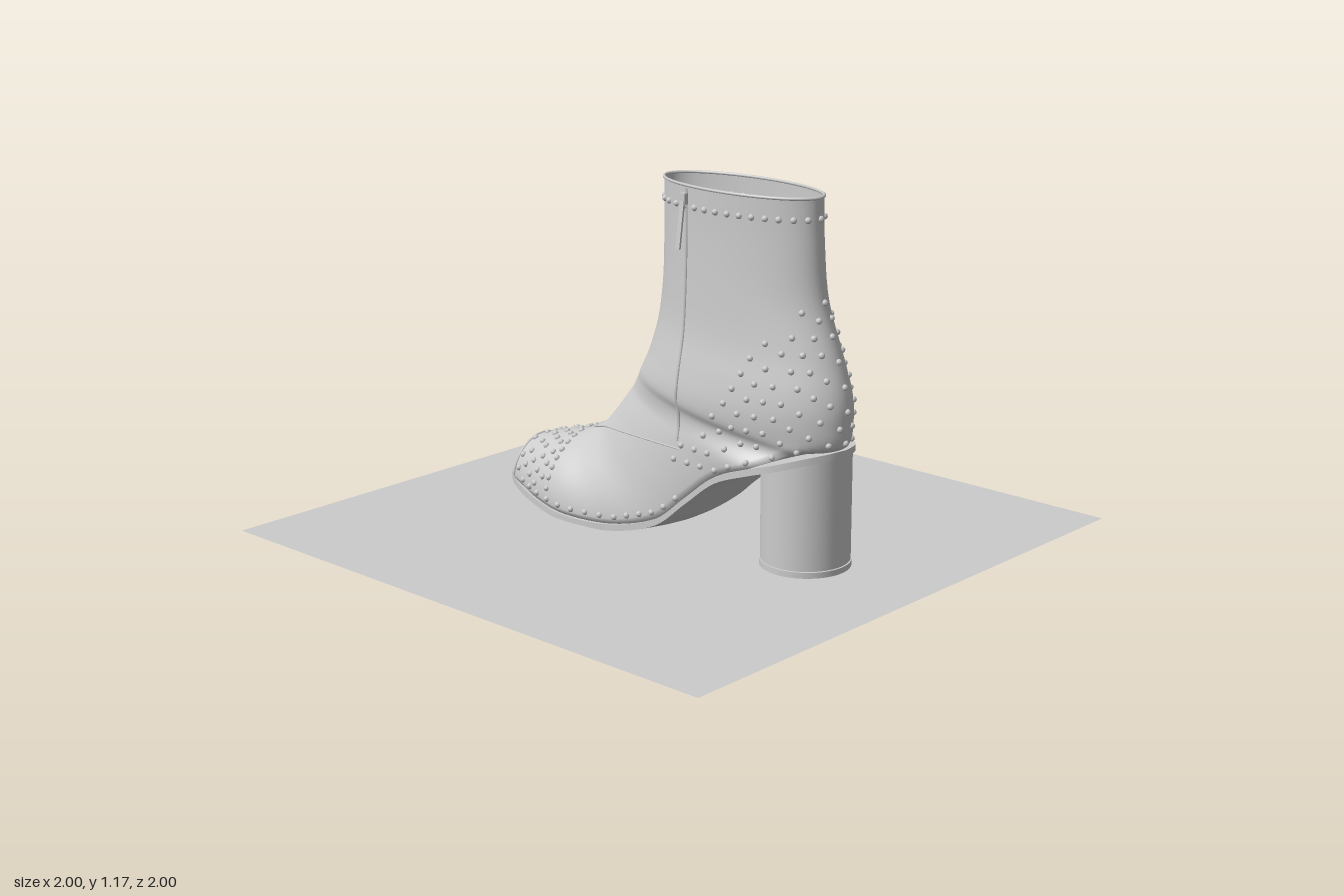
import * as THREE from 'three';
import { mergeGeometries, toCreasedNormals } from 'three/addons/utils/BufferGeometryUtils.js';

const V = (x, y, z) => new THREE.Vector3(x, y, z);
const lerp = THREE.MathUtils.lerp;
const material = new THREE.MeshStandardMaterial({ color: 0xcccccc, roughness: 0.7, side: THREE.DoubleSide });

function part(name, geometry) {
  const mesh = new THREE.Mesh(geometry, material);
  mesh.name = name;
  return mesh;
}

// Skin a list of closed rings, each with the same number of points
function loft(rings) {
  const n = rings[0].length, index = [];
  for (let i = 0; i < rings.length - 1; i++) {
    for (let j = 0; j < n; j++) {
      const a = i * n + j, b = i * n + (j + 1) % n;
      index.push(a, b, a + n, b, b + n, a + n);
    }
  }
  const g = new THREE.BufferGeometry().setFromPoints(rings.flat());
  g.setIndex(index);
  g.computeVertexNormals();
  return g;
}

const tube = (points, radius, closed = false) =>
  new THREE.TubeGeometry(new THREE.CatmullRomCurve3(points, closed), points.length * 4, radius, 6, closed);

// Upper stations, collar to toe:
// instep z, y | heel or sole z, y | half width, width at sole, flat bottom amount, centre x
const UPPER = [
  [-0.02, 1.17, 0.59, 1.17, 0.13, 0.13, 0, -0.005],
  [-0.02, 1.01, 0.595, 1.03, 0.13, 0.13, 0, -0.005],
  [-0.025, 0.85, 0.612, 0.85, 0.138, 0.138, 0, -0.003],
  [-0.045, 0.72, 0.665, 0.69, 0.152, 0.152, 0, 0],
  [-0.075, 0.62, 0.702, 0.57, 0.172, 0.172, 0, 0],
  [-0.1, 0.565, 0.707, 0.48, 0.182, 0.182, 0, 0],
  [-0.12, 0.53, 0.69, 0.405, 0.184, 0.17, 0.08, 0],
  [-0.14, 0.495, 0.6, 0.38, 0.185, 0.14, 0.6, 0],
  [-0.165, 0.455, 0.466, 0.335, 0.185, 0.18, 1, 0],
  [-0.2, 0.41, 0.33, 0.28, 0.183, 0.176, 1, 0],
  [-0.245, 0.355, 0.2, 0.18, 0.185, 0.172, 1, 0],
  [-0.295, 0.305, 0.08, 0.085, 0.195, 0.18, 1, 0.003],
  [-0.35, 0.272, -0.1, 0.03, 0.215, 0.205, 1, 0.007],
  [-0.42, 0.247, -0.3, 0.022, 0.228, 0.225, 1, 0.008],
  [-0.5, 0.226, -0.45, 0.035, 0.195, 0.195, 1, 0.002],
  [-0.605, 0.195, -0.62, 0.06, 0.128, 0.125, 1, -0.012],
];

// Sole stations, heel to toe: z, top y, half width, centre x
const SOLE = [
  [0.705, 0.405, 0, 0], [0.688, 0.402, 0.06, 0], [0.64, 0.39, 0.125, 0], [0.56, 0.365, 0.175, 0],
  [0.466, 0.335, 0.188, 0], [0.33, 0.28, 0.184, 0], [0.2, 0.18, 0.18, 0], [0.08, 0.085, 0.187, 0.003],
  [-0.1, 0.03, 0.214, 0.007], [-0.3, 0.022, 0.235, 0.008], [-0.45, 0.035, 0.203, 0.002],
  [-0.56, 0.052, 0.16, -0.007], [-0.64, 0.062, 0.11, -0.014], [-0.69, 0.069, 0.06, -0.016],
  [-0.712, 0.072, 0, -0.016],
];

function soleY(z) {
  for (let i = 1; i < SOLE.length; i++) {
    const [z0, y0] = SOLE[i - 1], [z1, y1] = SOLE[i];
    if (z >= z1) return lerp(y0, y1, Math.max(0, (z - z0) / (z1 - z0)));
  }
  return 0.072;
}

function upperRings(steps = 90, sides = 64) {
  const instep = new THREE.CatmullRomCurve3(UPPER.map(s => V(s[4], s[1], s[0])), false, 'catmullrom');
  const base = new THREE.CatmullRomCurve3(UPPER.map(s => V(s[5], s[3], s[2])), false, 'catmullrom');
  const shape = new THREE.CatmullRomCurve3(UPPER.map(s => V(s[6], s[7], 0)), false, 'catmullrom');
  const rings = [];
  for (let i = 0; i <= steps; i++) {
    const f = instep.getPoint(i / steps), b = base.getPoint(i / steps), k = shape.getPoint(i / steps);
    const flat = THREE.MathUtils.clamp(k.x, 0, 1), ring = [];
    for (let j = 0; j < sides; j++) {
      const u = j / sides * 2 - 1, a = Math.min(1, Math.abs(u) / 0.78) * Math.PI / 2;
      const under = Math.max(0, (Math.abs(u) - 0.78) / 0.22);
      // blend an oval section into a dome with a flat bottom
      const domeT = Math.cos(a), domeX = Math.sin(a) * (1 - under);
      const t = lerp((1 + Math.cos(u * Math.PI)) / 2, domeT, flat);
      const x = lerp(Math.sin(Math.abs(u) * Math.PI), domeX, flat) * lerp(f.x, b.x, (1 - t) ** 3);
      ring.push(V(k.y + Math.sign(u) * x, lerp(b.y, f.y, t), lerp(b.z, f.z, t)));
    }
    rings.push(ring);
  }
  return rings;
}

function soleGeometry() {
  const line = new THREE.CatmullRomCurve3(SOLE.map(s => V(s[2], s[1], s[0])));
  const centre = new THREE.CatmullRomCurve3(SOLE.map(s => V(s[3], s[1], s[0])));
  const rings = [];
  for (let i = 0; i <= 90; i++) {
    const p = line.getPoint(i / 90), c = centre.getPoint(i / 90).x, w = Math.max(0, p.x), ring = [];
    ring.push(V(c - w, p.y, p.z), V(c + w, p.y, p.z));
    const belly = 0.02 * Math.exp(-(((p.z - 0.12) / 0.16) ** 2));
    for (let j = 0; j <= 8; j++) {
      const s = 1 - j / 4;
      ring.push(V(c + s * w, Math.max(0.003, p.y - 0.022 - belly * (1 - s * s)), p.z));
    }
    rings.push(ring);
  }
  return toCreasedNormals(loft(rings), 0.7);
}

export function createModel() {
  const model = new THREE.Group();
  model.name = 'ankleBoot';

  // Flat square sheet under the boot
  model.add(part('baseSheet', new THREE.PlaneGeometry(2, 2).rotateX(-Math.PI / 2)));

  // Upper, with bound collar and open toe
  const rings = upperRings();
  const upper = part('upper', loft(rings));
  model.add(upper);
  model.add(part('collarEdge', tube(rings[0], 0.005, true)));
  model.add(part('toeOpeningEdge', tube(rings.at(-1).filter((p, j) => Math.abs(j / 32 - 1) < 0.78), 0.005)));
  model.add(part('sole', soleGeometry()));

  // Block heel, its top cut to the slope of the sole
  const heel = new THREE.CylinderGeometry(0.142, 0.142, 0.4, 48).translate(0.007, 0.222, 0.545);
  const hp = heel.attributes.position;
  for (let i = 0; i < hp.count; i++) if (hp.getY(i) > 0.3) hp.setY(i, soleY(hp.getZ(i)) - 0.012);
  model.add(part('heel', heel));
  model.add(part('heelTip', new THREE.CylinderGeometry(0.145, 0.145, 0.019, 48).translate(0.007, 0.0105, 0.545)));

  // Find points on the outside of the upper
  const ray = new THREE.Raycaster();
  upper.updateMatrixWorld();
  const hit = (from, dir) => {
    ray.set(from, dir.normalize());
    return ray.intersectObject(upper)[0]?.point;
  };
  const sideHit = (side, y, z) => hit(V(side, y, z), V(-side, 0, 0));
  const roundHit = (a, y) => {
    const d = V(Math.sin(a), 0, Math.cos(a));
    return hit(V(d.x, y, 0.34 + d.z), d.negate());
  };
  const archHit = (a, z) => {
    const d = V(Math.sin(a), Math.cos(a), 0);
    return hit(V(d.x, 0.06 + d.y, z), d.negate());
  };

  // Studs, kept a minimum distance apart
  const addStuds = (name, candidates, gap, keep = () => true) => {
    const placed = [];
    for (const p of candidates) {
      if (p && keep(p) && placed.every(q => q.distanceTo(p) > gap)) placed.push(p);
    }
    model.add(part(name, mergeGeometries(placed.map(p =>
      new THREE.SphereGeometry(0.0105, 8, 6).translate(p.x, p.y, p.z)))));
  };
  const heelPoints = [], toePoints = [], toeRow = [], collarPoints = [], welt = [];
  for (let y = 0.3; y < 0.88; y += 0.025) {
    for (let a = 0; a < 2.5; a += 0.04) heelPoints.push(roundHit(a, y), roundHit(-a, y));
  }
  for (let z = -0.43; z > -0.605; z -= 0.02) {
    for (let a = 0; a < 1.6; a += 0.04) toePoints.push(archHit(a, z), archHit(-a, z));
  }
  for (let a = 0; a < 1.6; a += 0.02) toeRow.push(archHit(a, -0.395), archHit(-a, -0.395));
  for (let a = 0; a < Math.PI; a += 0.02) collarPoints.push(roundHit(a, 1.105), roundHit(-a, 1.105));
  for (let z = 0.16; z > -0.6; z -= 0.01) {
    for (const s of [-1, 1]) welt.push(sideHit(s, soleY(z) + 0.022, z));
  }
  addStuds('heelStuds', heelPoints, 0.055, p =>
    p.z > 0.14 && p.y > soleY(p.z) + 0.02 && p.y < 0.3 + (p.z - 0.14) * 1.25);
  addStuds('toeStuds', toePoints, 0.044, p => p.y > soleY(p.z) + 0.045);
  addStuds('toeCapRow', toeRow, 0.034, p => p.y > 0.06);
  addStuds('collarStuds', collarPoints, 0.043);
  addStuds('weltStuds', welt, 0.052);

  // Vamp seam, meeting on the instep
  const seam = [];
  for (const s of [1, -1]) {
    const half = [[0.17, 0.335], [0.08, 0.333], [0, 0.33], [-0.08, 0.325], [-0.16, 0.317], [-0.23, 0.307]]
      .map(([z, y]) => sideHit(s, y, z));
    seam.push(...(s > 0 ? [...half, hit(V(0, 1, -0.36), V(0, -1, 0))] : half.reverse()));
  }
  model.add(part('vampSeam', tube(seam.filter(Boolean), 0.003)));

  // Side zip with hanging pull
  const zip = [];
  for (let y = 1.16; y > 0.35; y -= 0.05) zip.push(sideHit(-1, y, 0.16));
  model.add(part('zip', tube(zip.filter(Boolean), 0.006)));
  const slider = part('zipSlider', new THREE.BoxGeometry(0.014, 0.035, 0.022));
  slider.position.set(-0.137, 1.13, 0.16);
  const pull = part('zipPull', new THREE.BoxGeometry(0.007, 0.15, 0.016));
  pull.position.set(-0.152, 1.05, 0.16);
  pull.rotation.z = -0.14;
  model.add(slider, pull);

  return model;
}
